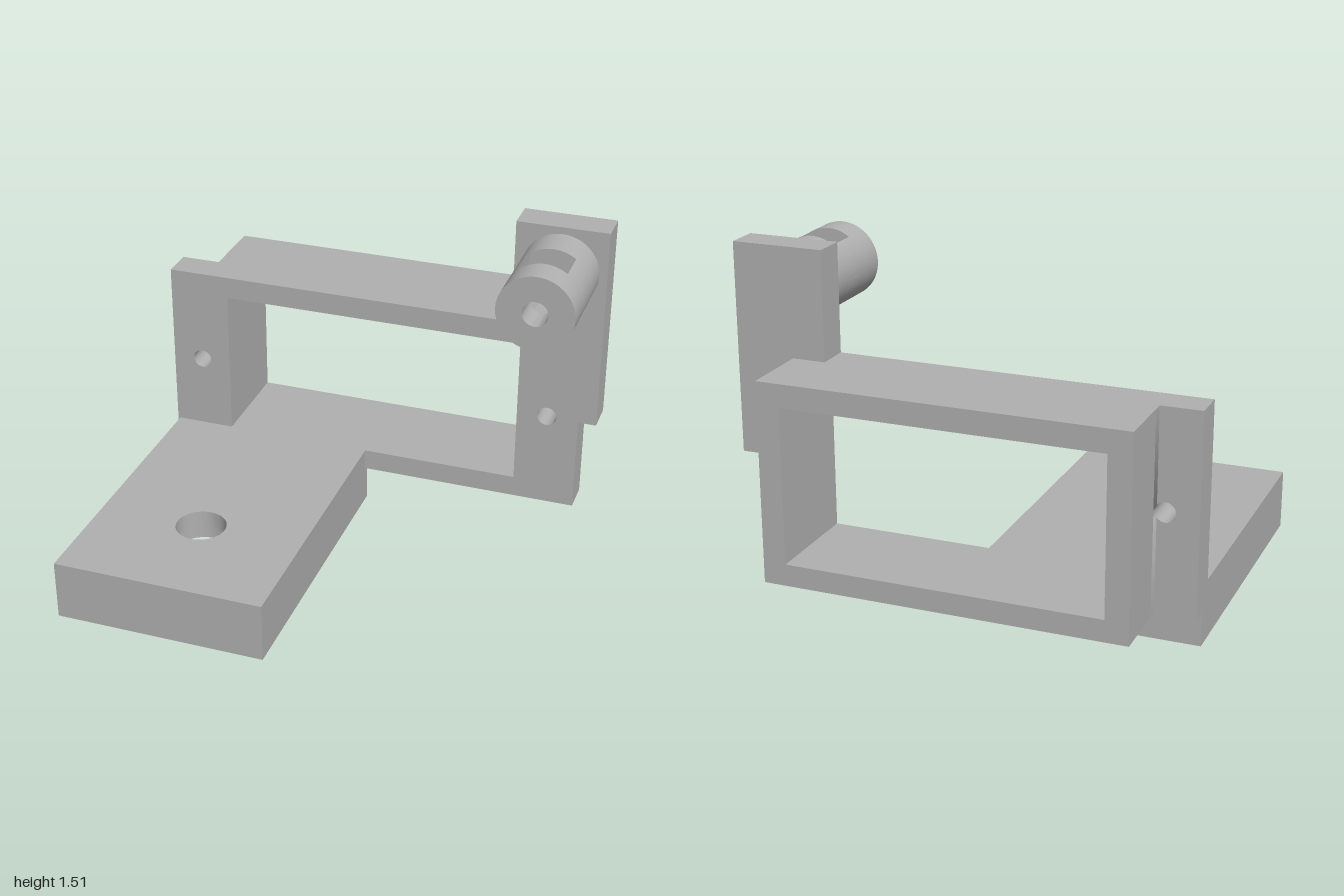
import * as THREE from 'three';
import { toCreasedNormals } from 'three/addons/utils/BufferGeometryUtils.js';

const grey = new THREE.MeshStandardMaterial({ color: 0xb0b0b0 });
grey.name = 'grey plastic';

const polygon = (pts) => new THREE.Shape(pts.map(([x, y]) => new THREE.Vector2(x, y)));
const rect = (x0, y0, x1, y1) => polygon([[x0, y0], [x1, y0], [x1, y1], [x0, y1]]);
const circle = (x, y, r) => new THREE.Shape().absarc(x, y, r, 0, Math.PI * 2, false);

// Extrudes a shape with holes from 'from' to 'to' along z, keeping edges sharp and curves smooth
function slab(shape, holes, from, to) {
  shape.holes.push(...holes);
  const g = new THREE.ExtrudeGeometry(shape, { depth: to - from, bevelEnabled: false, curveSegments: 40 });
  return toCreasedNormals(g.translate(0, 0, from), 0.6);
}

export function createModel() {
  const model = new THREE.Group();
  const add = (parent, name, geometry) => {
    const mesh = new THREE.Mesh(geometry, grey);
    mesh.name = name;
    parent.add(mesh);
    return mesh;
  };
  const group = (name) => {
    const g = new THREE.Group();
    g.name = name;
    model.add(g);
    return g;
  };

  const opening = () => rect(-0.725, 0.265, 0.645, 0.94);
  const screwY = 0.605, screwR = 0.043, screwL = -0.86, screwRt = 0.78;

  // Front plate with the raised tab, window and two screw holes
  const plate = polygon([[-1, 0.17], [0.92, 0.17], [0.92, 0.6], [1, 0.6],
    [1, 1.51], [0.6, 1.51], [0.6, 1.04], [-1, 1.04]]);
  add(model, 'mountingPlate', slab(plate,
    [opening(), circle(screwL, screwY, screwR), circle(screwRt, screwY, screwR)], -0.565, -0.42));

  // Rear frame, its first layer grazed by the screw holes
  const frame = group('rearFrame');
  const a = Math.acos(0.035 / screwR);
  const grazed = new THREE.Shape();
  grazed.moveTo(-0.825, 0.17);
  grazed.lineTo(0.745, 0.17);
  grazed.absarc(screwRt, screwY, screwR, Math.PI + a, Math.PI - a, true);
  grazed.lineTo(0.745, 1.04);
  grazed.lineTo(-0.825, 1.04);
  grazed.absarc(screwL, screwY, screwR, a, -a, true);
  add(frame, 'frameFront', slab(grazed, [opening()], -0.61, -0.565));
  add(frame, 'frameBack', slab(rect(-0.825, 0.17, 0.745, 1.04), [opening()], -0.88, -0.61));

  // Base in layers: bottom, top, hole radius, back edge
  const base = group('base');
  [[0, 0.12, 0.34, -0.45], [0.12, 0.17, 0.128, -0.45],
    [0.17, 0.19, 0.128, -0.42], [0.19, 0.265, 0.11, -0.42]].forEach(([y0, y1, r, back], i) => {
    const g = slab(rect(-0.99, -0.88, -0.06, -back), [circle(-0.525, -0.41, r)], y0, y1);
    add(base, `baseLayer${i + 1}`, g.rotateX(-Math.PI / 2));
  });

  // Round boss with a bore and a hexagonal nut pocket open at the top
  const boss = group('boss');
  boss.position.set(0.8, 1.315, 0);
  const R = 0.165, w = 0.095, h = 0.082, t = Math.acos(w / R);
  const ring = (from, to) => slab(circle(0, 0, R), [circle(0, 0, 0.055)], from, to);
  const pocket = new THREE.Shape();
  pocket.absarc(0, 0, R, Math.PI - t, Math.PI * 2 + t, false);
  [[w, 0], [w / 2, -h], [-w / 2, -h], [-w, 0]].forEach(([x, y]) => pocket.lineTo(x, y));
  add(boss, 'bossFront', ring(-0.11, 0.02));
  add(boss, 'nutPocket', slab(pocket, [], -0.26, -0.11));
  add(boss, 'bossBack', ring(-0.42, -0.26));

  return model;
}
